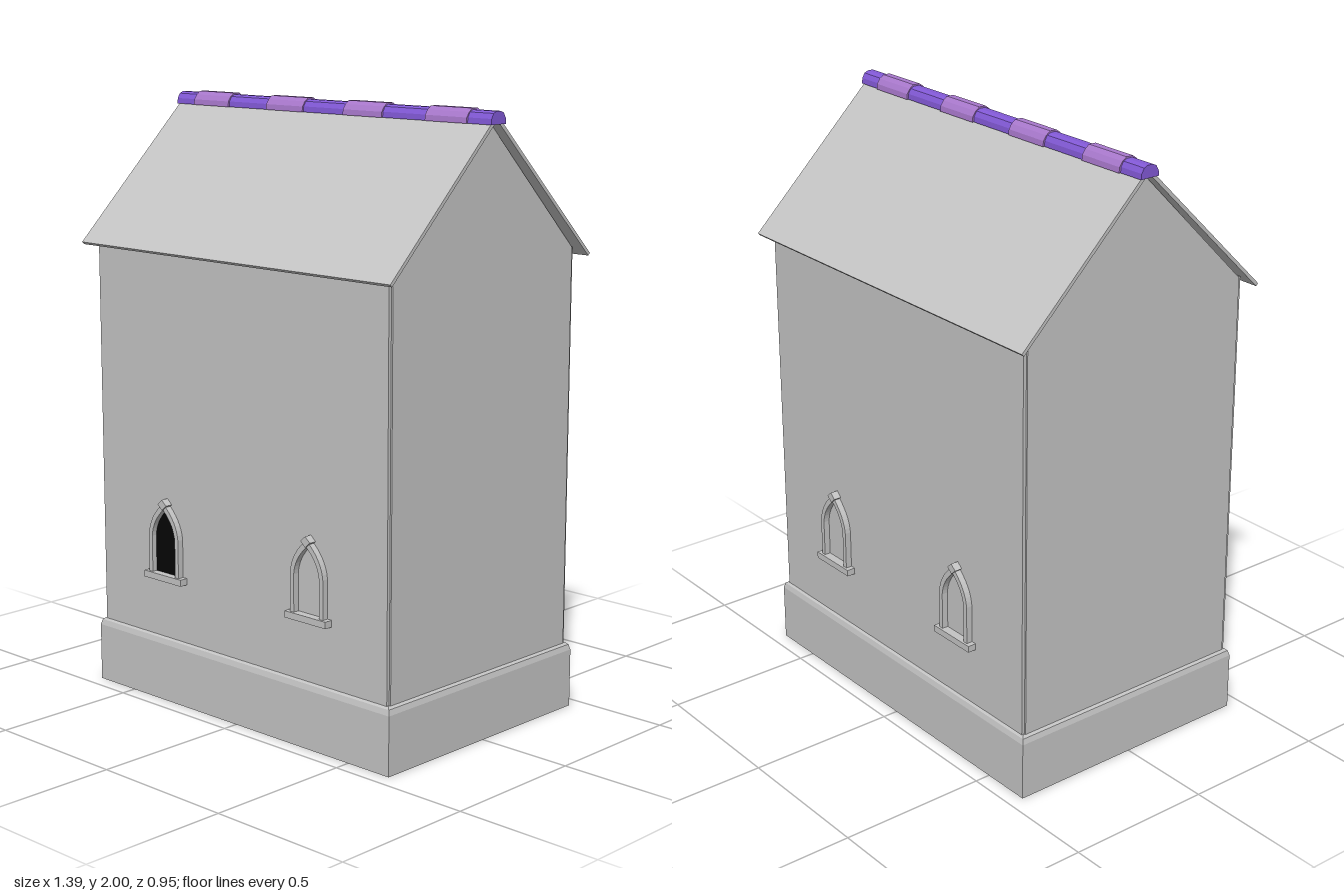
import * as THREE from 'three';

const mat = (name, color, side = THREE.FrontSide) => {
  const m = new THREE.MeshStandardMaterial({ color, side });
  m.name = name;
  return m;
};

const polygon = (pts) => new THREE.Shape(pts.map(([x, y]) => new THREE.Vector2(x, y)));

// Extrusion centred on its depth
const slab = (shape, depth) => new THREE.ExtrudeGeometry(shape, { depth, bevelEnabled: false, curveSegments: 8 })
  .translate(0, 0, -depth / 2);

// Pointed arch outline standing on y = base
function archShape(Type, w, base, spring, tip) {
  const s = new Type();
  s.moveTo(-w, base);
  s.lineTo(w, base);
  s.lineTo(w, spring);
  s.quadraticCurveTo(w * 0.92, spring + (tip - spring) * 0.55, 0, tip);
  s.quadraticCurveTo(-w * 0.92, spring + (tip - spring) * 0.55, -w, spring);
  s.closePath();
  return s;
}

export function createModel() {
  const house = new THREE.Group();
  house.name = 'house';
  const stone = mat('grey stone', 0xc4c4c4);
  const violet = mat('violet tile', 0x8259d6);
  const lilac = mat('lilac tile', 0xa878cc);
  const black = mat('black glass', 0x050505);

  const add = (parent, name, geo, material, x = 0, y = 0, z = 0) => {
    const m = new THREE.Mesh(geo, material);
    m.name = name;
    m.position.set(x, y, z);
    parent.add(m);
    return m;
  };

  // Long walls and gabled end walls, hollow inside
  const gable = polygon([[-0.425, 0.02], [0.425, 0.02], [0.425, 1.54], [0, 1.965], [-0.425, 1.54]]);
  for (const s of [1, -1]) {
    add(house, s > 0 ? 'frontWall' : 'backWall', new THREE.BoxGeometry(1.3, 1.52, 0.012), stone, 0, 0.78, s * 0.43);
    add(house, s > 0 ? 'leftGableWall' : 'rightGableWall', slab(gable, 0.012).rotateY(Math.PI / 2), stone, s * 0.65);
  }

  // Open plinth with a chamfered top edge, lofted from rectangular rings
  const rings = [[0.64, 0.42, 0], [0.67, 0.448, 0], [0.67, 0.448, 0.195], [0.665, 0.443, 0.213], [0.655, 0.435, 0.22], [0.64, 0.42, 0.22], [0.64, 0.42, 0]];
  const pos = [];
  const corner = ([x, z, y], k) => [[x, y, z], [x, y, -z], [-x, y, -z], [-x, y, z]][k % 4];
  for (let i = 0; i < rings.length - 1; i++) {
    for (let k = 0; k < 4; k++) {
      const a = corner(rings[i], k), b = corner(rings[i], k + 1);
      const c = corner(rings[i + 1], k + 1), d = corner(rings[i + 1], k);
      pos.push(...a, ...b, ...c, ...a, ...c, ...d);
    }
  }
  const plinth = new THREE.BufferGeometry();
  plinth.setAttribute('position', new THREE.Float32BufferAttribute(pos, 3));
  plinth.computeVertexNormals();
  add(house, 'plinth', plinth, stone);

  // Thin folded roof
  const roof = polygon([[-0.475, 1.52], [-0.467, 1.512], [0, 1.967], [0.467, 1.512], [0.475, 1.52], [0, 1.984]]);
  add(house, 'roof', slab(roof, 1.38).rotateY(Math.PI / 2), stone);

  // Ridge caps: a long violet run with four wider lilac tiles
  const ridge = (w, top) => polygon([[-w, 1.955], [w, 1.955], [w * 0.95, 1.973], [w * 0.68, 1.989],
    [w * 0.3, top], [-w * 0.3, top], [-w * 0.68, 1.989], [-w * 0.95, 1.973]]);
  add(house, 'ridgeCap', slab(ridge(0.035, 1.995), 1.39).rotateY(Math.PI / 2), violet);
  for (let i = 0; i < 4; i++) {
    add(house, 'ridgeTile', slab(ridge(0.041, 2), 0.167).rotateY(Math.PI / 2), lilac, -0.522 + i * 0.347);
  }

  // Pointed windows, two on each long side
  const frame = archShape(THREE.Shape, 0.071, 0.44, 0.57, 0.685);
  frame.holes.push(archShape(THREE.Path, 0.055, 0.441, 0.565, 0.662));
  const frameGeo = slab(frame, 0.022);
  const diamond = slab(polygon([[0, 0.662], [0.02, 0.68], [0, 0.698], [-0.02, 0.68]]), 0.028);
  const sill = new THREE.BoxGeometry(0.178, 0.022, 0.03);
  const pane = slab(archShape(THREE.Shape, 0.055, 0.441, 0.565, 0.66), 0.004);
  for (const s of [1, -1]) {
    for (const x of [-0.33, 0.33]) {
      const win = new THREE.Group();
      win.name = s > 0 ? 'frontWindow' : 'backWindow';
      add(win, 'windowFrame', frameGeo, stone, 0, 0, 0.446);
      add(win, 'keystone', diamond, stone, 0, 0, 0.448);
      add(win, 'windowSill', sill, stone, 0, 0.431, 0.45);
      if (s > 0 && x < 0) add(win, 'windowPane', pane, black, 0, 0, 0.437);
      win.position.x = x;
      if (s < 0) win.rotation.y = Math.PI;
      house.add(win);
    }
  }
  return house;
}
